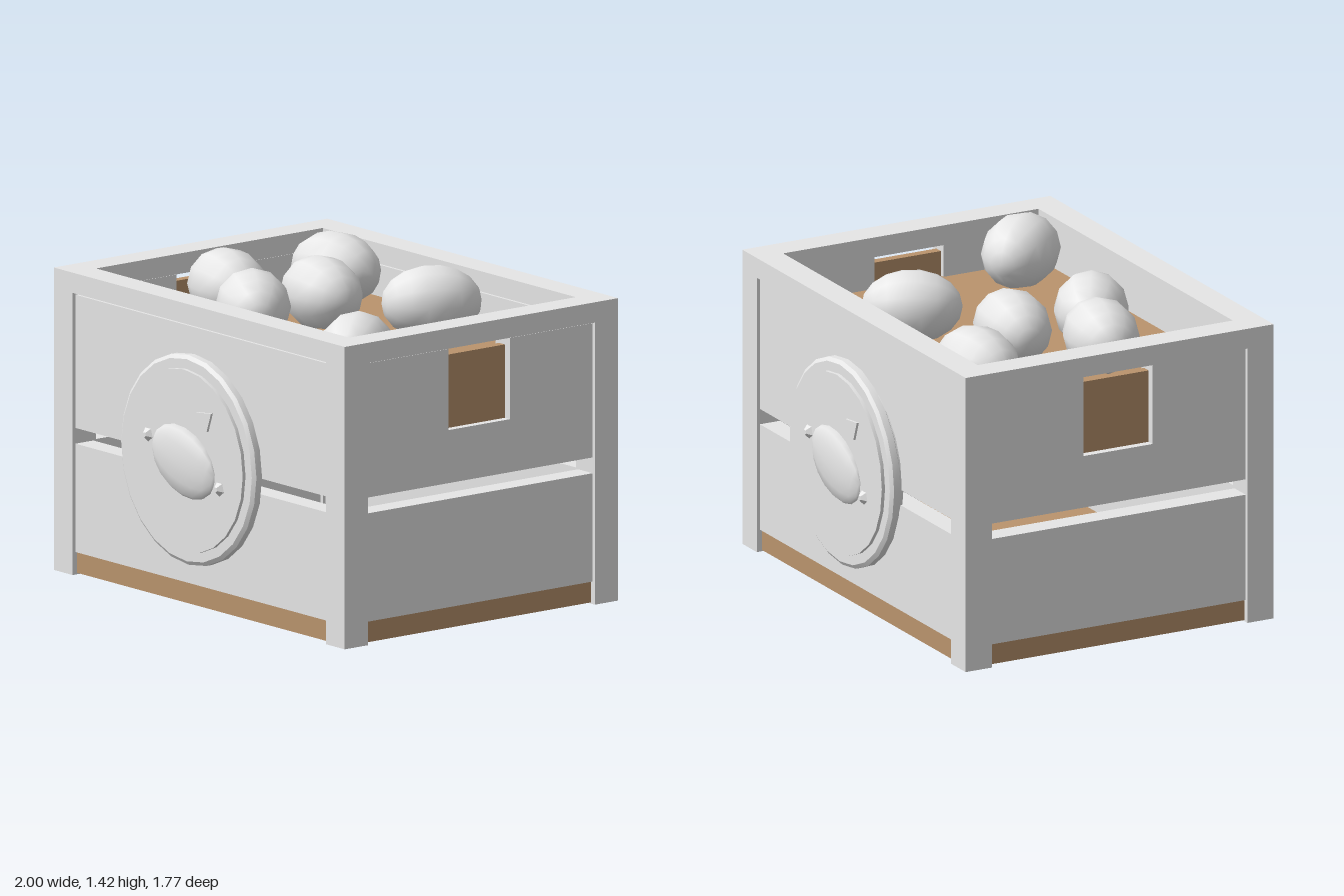
import * as THREE from 'three';
import { toCreasedNormals } from 'three/addons/utils/BufferGeometryUtils.js';

const grey = new THREE.MeshStandardMaterial({ color: 0xe7e7e7 });
grey.name = 'pale grey';
const brown = new THREE.MeshStandardMaterial({ color: 0xba946d });
brown.name = 'wood brown';

function add(parent, name, geometry, material = grey) {
  const mesh = new THREE.Mesh(geometry, material);
  mesh.name = name;
  parent.add(mesh);
  return mesh;
}

// Box given by its min and max corners
function box(parent, name, [x0, y0, z0], [x1, y1, z1], material) {
  const mesh = add(parent, name, new THREE.BoxGeometry(x1 - x0, y1 - y0, z1 - z0), material);
  mesh.position.set((x0 + x1) / 2, (y0 + y1) / 2, (z0 + z1) / 2);
  return mesh;
}

// Low-poly ellipsoid with its poles along x
function ovalGeometry(a, b, c) {
  return new THREE.SphereGeometry(1, 12, 9).rotateZ(Math.PI / 2).scale(a, b, c);
}

// Round plaque with a raised oval fruit, end nubs and a small leaf, facing +z
function makePlaque() {
  const plaque = new THREE.Group();
  plaque.name = 'plaque';
  const profile = [[0, 0.735], [0.4, 0.735], [0.4, 0.775], [0.445, 0.775], [0.465, 0.787],
    [0.465, 0.818], [0.448, 0.83], [0.405, 0.83], [0.405, 0.846], [0, 0.846]]
    .map(([r, y]) => new THREE.Vector2(r, y));
  const disc = toCreasedNormals(new THREE.LatheGeometry(profile, 24).rotateX(Math.PI / 2), 0.6);
  add(plaque, 'plaqueDisc', disc).position.y = 0.672;

  const fruit = add(plaque, 'plaqueFruit', ovalGeometry(0.222, 0.154, 0.046));
  fruit.position.set(0, 0.668, 0.841);
  fruit.rotation.z = -0.32;

  for (const s of [-1, 1]) {
    const nub = add(plaque, 'plaqueNub', toCreasedNormals(
      new THREE.CylinderGeometry(0.012, 0.04, 0.03, 5).rotateX(Math.PI / 2), 0.3));
    nub.position.set(0.245 * s, 0.668 - 0.079 * s, 0.853);
  }

  const leafShape = new THREE.Shape([[0.065, 0.825], [0.17, 0.83], [0.2, 0.916], [0.097, 0.905]]
    .map(([x, y]) => new THREE.Vector2(x, y)));
  add(plaque, 'plaqueLeaf', new THREE.ExtrudeGeometry(leafShape, { depth: 0.012, bevelEnabled: false }))
    .position.z = 0.845;
  return plaque;
}

export function createModel() {
  const crate = new THREE.Group();
  crate.name = 'crate';

  // Corner posts and top rim
  for (const sx of [-1, 1]) for (const sz of [-1, 1]) {
    const post = add(crate, 'cornerPost', new THREE.BoxGeometry(0.13, 1.25, 0.13));
    post.position.set(0.935 * sx, 0.625, 0.695 * sz);
  }
  const rimShape = new THREE.Shape();
  rimShape.moveTo(-1, -0.76).lineTo(1, -0.76).lineTo(1, 0.76).lineTo(-1, 0.76).closePath();
  const rimHole = new THREE.Path();
  rimHole.moveTo(-0.87, -0.63).lineTo(-0.87, 0.63).lineTo(0.87, 0.63).lineTo(0.87, -0.63).closePath();
  rimShape.holes.push(rimHole);
  add(crate, 'topRim', new THREE.ExtrudeGeometry(rimShape, { depth: 0.09, bevelEnabled: false })
    .rotateX(-Math.PI / 2)).position.y = 1.25;

  // Base and the raised inner floor
  box(crate, 'base', [-0.975, 0.006, -0.735], [0.975, 0.1, 0.735], brown);
  box(crate, 'innerFloor', [-0.9, 1.05, -0.66], [0.9, 1.1, 0.66], brown);

  // Front and back walls, each with a plaque
  for (const turn of [0, Math.PI]) {
    const wall = new THREE.Group();
    wall.name = turn ? 'backWall' : 'frontWall';
    box(wall, 'lowerBoard', [-0.87, 0.1, 0.645], [0.87, 0.58, 0.745]);
    box(wall, 'upperBoard', [-0.87, 0.65, 0.645], [0.87, 1.24, 0.745]);
    wall.add(makePlaque());
    wall.rotation.y = turn;
    crate.add(wall);
  }

  // Side walls with a notched upper board and a filled hand hole
  const notched = new THREE.Shape([[-0.63, 0.65], [0.63, 0.65], [0.63, 1.245], [0.17, 1.245],
    [0.17, 0.885], [-0.17, 0.885], [-0.17, 1.245], [-0.63, 1.245]]
    .map(([x, y]) => new THREE.Vector2(x, y)));
  for (const s of [1, -1]) {
    const wall = new THREE.Group();
    wall.name = s > 0 ? 'leftWall' : 'rightWall';
    box(wall, 'lowerBoard', [-0.63, 0.1, 0.885], [0.63, 0.58, 0.985]);
    add(wall, 'notchedBoard', new THREE.ExtrudeGeometry(notched, { depth: 0.1, bevelEnabled: false }))
      .position.z = 0.885;
    box(wall, 'handHolePanel', [-0.17, 0.885, 0.91], [0.17, 1.21, 0.95], brown);
    wall.rotation.y = s * Math.PI / 2;
    crate.add(wall);
  }

  // Loose oval fruit: x, z, top height, heading in degrees
  const fruits = [[-0.575, -0.465, 1.4, 8], [0.22, -0.353, 1.408, 62], [-0.225, -0.102, 1.405, -8],
    [-0.55, 0.157, 1.418, -12], [-0.192, 0.305, 1.41, -30], [0.692, 0.445, 1.395, -52]];
  const oval = ovalGeometry(0.22, 0.163, 0.163);
  for (const [x, z, top, heading] of fruits) {
    const fruit = add(crate, 'fruit', oval);
    fruit.position.set(x, top - 0.163, z);
    fruit.rotation.y = THREE.MathUtils.degToRad(heading);
  }
  return crate;
}
